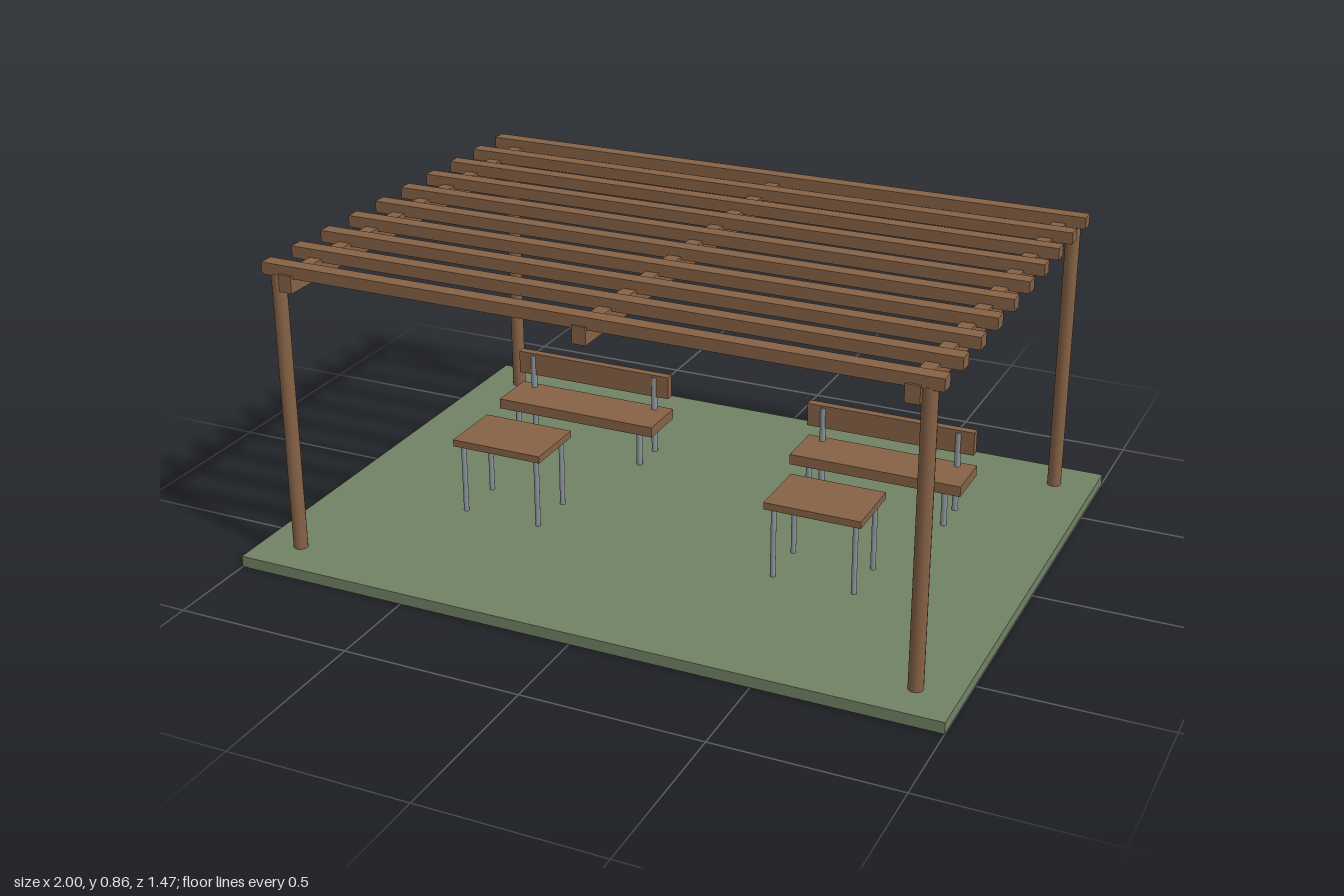
import * as THREE from 'three';

export function createModel() {
  const model = new THREE.Group();
  model.name = 'pergola';
  const material = (name, color) => {
    const m = new THREE.MeshStandardMaterial({ color });
    m.name = name;
    return m;
  };
  const wood = material('wood', 0x866246);
  const metal = material('metal', 0x8b959b);
  const grass = material('grass', 0x718265);

  const add = (parent, name, geometry, mat, x, y, z) => {
    const mesh = new THREE.Mesh(geometry, mat);
    mesh.name = name;
    mesh.position.set(x, y, z);
    parent.add(mesh);
    return mesh;
  };
  // Box and upright rod given by their bottom and top heights
  const box = (parent, name, mat, w, d, y0, y1, x, z) =>
    add(parent, name, new THREE.BoxGeometry(w, y1 - y0, d), mat, x, (y0 + y1) / 2, z);
  const rod = (parent, name, mat, r, y0, y1, x, z, sides) =>
    add(parent, name, new THREE.CylinderGeometry(r, r, y1 - y0, sides), mat, x, (y0 + y1) / 2, z);

  // Ground slab
  box(model, 'ground', grass, 2, 1.472, 0, 0.032, 0, 0);

  // Corner posts
  for (const x of [-0.887, 0.887]) {
    for (const z of [-0.62, 0.62]) rod(model, 'post', wood, 0.02, 0.025, 0.832, x, z, 16);
  }

  // Beams running front to back
  for (const x of [-0.852, 0, 0.852]) {
    box(model, 'beam', wood, 0.038, 1.29, 0.789, 0.837, x, 0);
  }

  // Roof slats running side to side
  for (let i = 0; i < 10; i++) {
    box(model, 'slat', wood, 1.852, 0.042, 0.828, 0.861, 0, -0.614 + i * 0.1368);
  }

  // A table and a bench on each side
  for (const side of [-1, 1]) {
    const table = new THREE.Group();
    table.name = 'table';
    table.position.x = side * 0.47;
    box(table, 'tableTop', wood, 0.272, 0.19, 0.236, 0.256, 0, 0.165);
    for (const x of [-0.115, 0.115]) {
      for (const z of [0.091, 0.239]) rod(table, 'tableLeg', metal, 0.0075, 0.01, 0.24, x, z, 12);
    }

    const bench = new THREE.Group();
    bench.name = 'bench';
    bench.position.x = side * 0.472;
    box(bench, 'seat', wood, 0.508, 0.15, 0.138, 0.169, 0, -0.289);
    box(bench, 'backrest', wood, 0.5, 0.025, 0.211, 0.28, 0, -0.349);
    for (const x of [-0.203, 0.203]) {
      rod(bench, 'frontLeg', metal, 0.009, 0.01, 0.145, x, -0.237, 12);
      rod(bench, 'backLeg', metal, 0.009, 0.01, 0.273, x, -0.341, 12);
    }
    model.add(table, bench);
  }
  return model;
}
